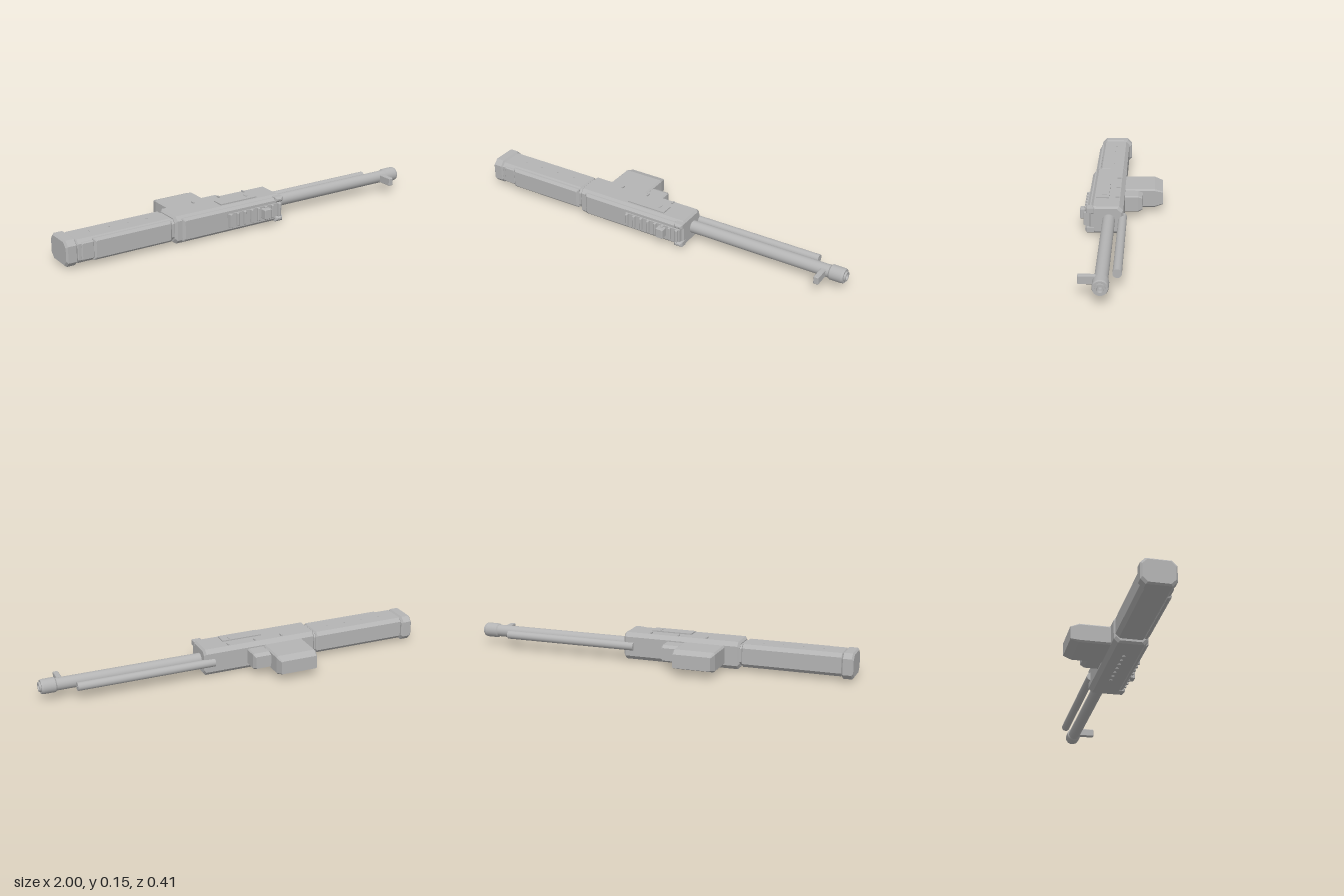
import * as THREE from 'three';

const steel = new THREE.MeshStandardMaterial({ color: 0xb4b4b4 });
steel.name = 'grey steel';

// Chamfered-rectangle sections [position, uMin, uMax, vMin, vMax, chamfer] joined along an axis.
// (u, v) is (y, z) for axis x, (z, x) for axis y and (x, y) for axis z.
function loft(axis, sections) {
  const k = 'xyz'.indexOf(axis);
  const rings = sections.map(([p, u0, u1, v0, v1, c]) =>
    [[u0 + c, v0], [u1 - c, v0], [u1, v0 + c], [u1, v1 - c], [u1 - c, v1], [u0 + c, v1], [u0, v1 - c], [u0, v0 + c]]
      .map(([u, v]) => {
        const q = [0, 0, 0];
        q[k] = p; q[(k + 1) % 3] = u; q[(k + 2) % 3] = v;
        return q;
      }));
  const pos = [];
  const tri = (a, b, c) => pos.push(...a, ...b, ...c);
  for (let s = 0; s < rings.length - 1; s++) {
    for (let i = 0; i < 8; i++) {
      const j = (i + 1) % 8, a = rings[s], b = rings[s + 1];
      tri(a[i], a[j], b[j]);
      tri(a[i], b[j], b[i]);
    }
  }
  const first = rings[0], last = rings[rings.length - 1];
  for (let i = 1; i < 7; i++) {
    tri(first[0], first[i + 1], first[i]);
    tri(last[0], last[i], last[i + 1]);
  }
  const g = new THREE.BufferGeometry();
  g.setAttribute('position', new THREE.Float32BufferAttribute(pos, 3));
  g.computeVertexNormals();
  return g;
}

// Block along x or z with bevelled ends
function block(axis, p0, p1, u0, u1, v0, v1, c, b0 = 0.006, b1 = b0) {
  return loft(axis, [
    [p0, u0 + b0, u1 - b0, v0 + b0, v1 - b0, c],
    [p0 + b0, u0, u1, v0, v1, c],
    [p1 - b1, u0, u1, v0, v1, c],
    [p1, u0 + b1, u1 - b1, v0 + b1, v1 - b1, c],
  ]);
}

function box(x0, x1, y0, y1, z0, z1) {
  return new THREE.BoxGeometry(x1 - x0, y1 - y0, z1 - z0)
    .translate((x0 + x1) / 2, (y0 + y1) / 2, (z0 + z1) / 2);
}

function rod(x0, x1, r, y, z) {
  return new THREE.CylinderGeometry(r, r, x1 - x0, 32)
    .rotateZ(-Math.PI / 2).translate((x0 + x1) / 2, y, z);
}

export function createModel() {
  const model = new THREE.Group();
  const add = (name, geometry) => {
    const m = new THREE.Mesh(geometry, steel);
    m.name = name;
    model.add(m);
    return m;
  };

  // Receiver with its raised side cover
  add('receiver', block('x', -0.435, 0.174, 0.005, 0.143, -0.012, 0.155, 0.02, 0.01));
  add('receiverSideCover', block('z', 0.145, 0.166, -0.4, 0.145, 0.015, 0.133, 0.004, 0.002, 0.012));

  // Stock, neck and butt
  add('stockNeck', block('x', -0.455, -0.42, 0.026, 0.128, 0, 0.142, 0.018, 0.001));
  add('stock', block('x', -0.945, -0.445, 0.02, 0.135, -0.01, 0.14, 0.018, 0.006));
  add('stockSidePanel', block('z', 0.13, 0.153, -0.865, -0.45, 0.024, 0.131, 0.004, 0.002, 0.012));
  add('stockEndStrip', block('z', 0.13, 0.146, -0.925, -0.86, 0.034, 0.122, 0.004, 0.002, 0.005));
  add('buttPlate', block('x', -1, -0.942, 0.012, 0.14, -0.024, 0.143, 0.024, 0.008));

  // Front clamps at the two corners of the receiver
  add('upperClamp', block('z', 0.13, 0.175, 0.13, 0.176, 0.11, 0.138, 0.002, 0.002, 0.01));
  add('lowerClamp', block('z', 0.13, 0.175, 0.13, 0.176, 0.01, 0.038, 0.002, 0.002, 0.01));

  // Ribbed side panel and charging handle
  add('ribbedPanelBase', box(-0.15, 0.165, 0.04, 0.108, 0.155, 0.172));
  for (let i = 0; i < 8; i++) {
    const x = -0.145 + i * 0.041;
    add('panelRib', block('z', 0.168, 0.184, x, x + 0.014, 0.04, 0.108, 0.002, 0.003));
  }
  add('chargingHandle', block('z', 0.165, 0.205, 0.044, 0.086, 0.048, 0.1, 0.004, 0.003));

  // Top hatch, its latch and three pins
  add('topHatch', box(-0.163, 0.047, 0.14, 0.149, 0.063, 0.127));
  add('hatchLatch', box(0.001, 0.009, 0.148, 0.152, 0.075, 0.1));
  for (const x of [-0.258, -0.11, 0.035]) {
    add('topPin', box(x - 0.004, x + 0.004, 0.14, 0.15, 0.012, 0.032));
  }

  // Small studs under the receiver and on the stock
  for (let i = 0; i < 7; i++) {
    const x = -0.29 + i * 0.047;
    add('bottomStud', new THREE.CylinderGeometry(0.008, 0.008, 0.01, 12).translate(x, 0.005, 0.067));
  }
  for (let i = 0; i < 4; i++) {
    add('stockStud', new THREE.CylinderGeometry(0.004, 0.004, 0.004, 10).translate(-0.84 + i * 0.1, 0.135, 0.06));
  }

  // Barrel, muzzle with open bore, and sight
  add('barrel', rod(0.15, 0.95, 0.031, 0.074, 0.059));
  const muzzle = [[0.03, 0.913], [0.037, 0.921], [0.037, 0.98], [0.034, 0.99], [0.024, 0.99],
    [0.024, 0.999], [0.016, 0.999], [0.016, 0.975], [0.011, 0.975], [0.011, 0.955], [0, 0.955]];
  const points = [];
  muzzle.forEach(([r, x], i) => {
    points.push(new THREE.Vector2(r, x));
    // doubled points keep the profile edges sharp
    if (i > 0 && i < muzzle.length - 1) points.push(new THREE.Vector2(r, x));
  });
  const profile = points.map((p) => p.clone());
  for (let i = 0; i < profile.length - 1; i += 2) {
    const g = new THREE.LatheGeometry([profile[i], profile[i + 1]], 32);
    add('muzzle', g.rotateZ(-Math.PI / 2).translate(0, 0.074, 0.059));
  }
  add('frontSight', block('z', 0.08, 0.163, 0.875, 0.901, 0.053, 0.094, 0.003, 0.003));

  // Lower tube beneath the barrel
  add('lowerTube', rod(0.12, 0.827, 0.021, 0.074, -0.008));
  add('tubeEndHole', rod(0.826, 0.828, 0.003, 0.074, -0.008));

  // Grip and guard block behind the receiver, tapered at their ends
  add('grip', loft('z', [
    [-0.205, -0.35, -0.157, 0.04, 0.108, 0.004],
    [-0.163, -0.362, -0.147, 0.026, 0.123, 0.008],
    [0, -0.362, -0.147, 0.026, 0.123, 0.008],
  ]));
  add('guardBlock', loft('z', [
    [-0.102, -0.15, -0.066, 0.043, 0.106, 0.004],
    [-0.08, -0.15, -0.058, 0.033, 0.117, 0.006],
    [0, -0.15, -0.058, 0.033, 0.117, 0.006],
  ]));

  return model;
}
